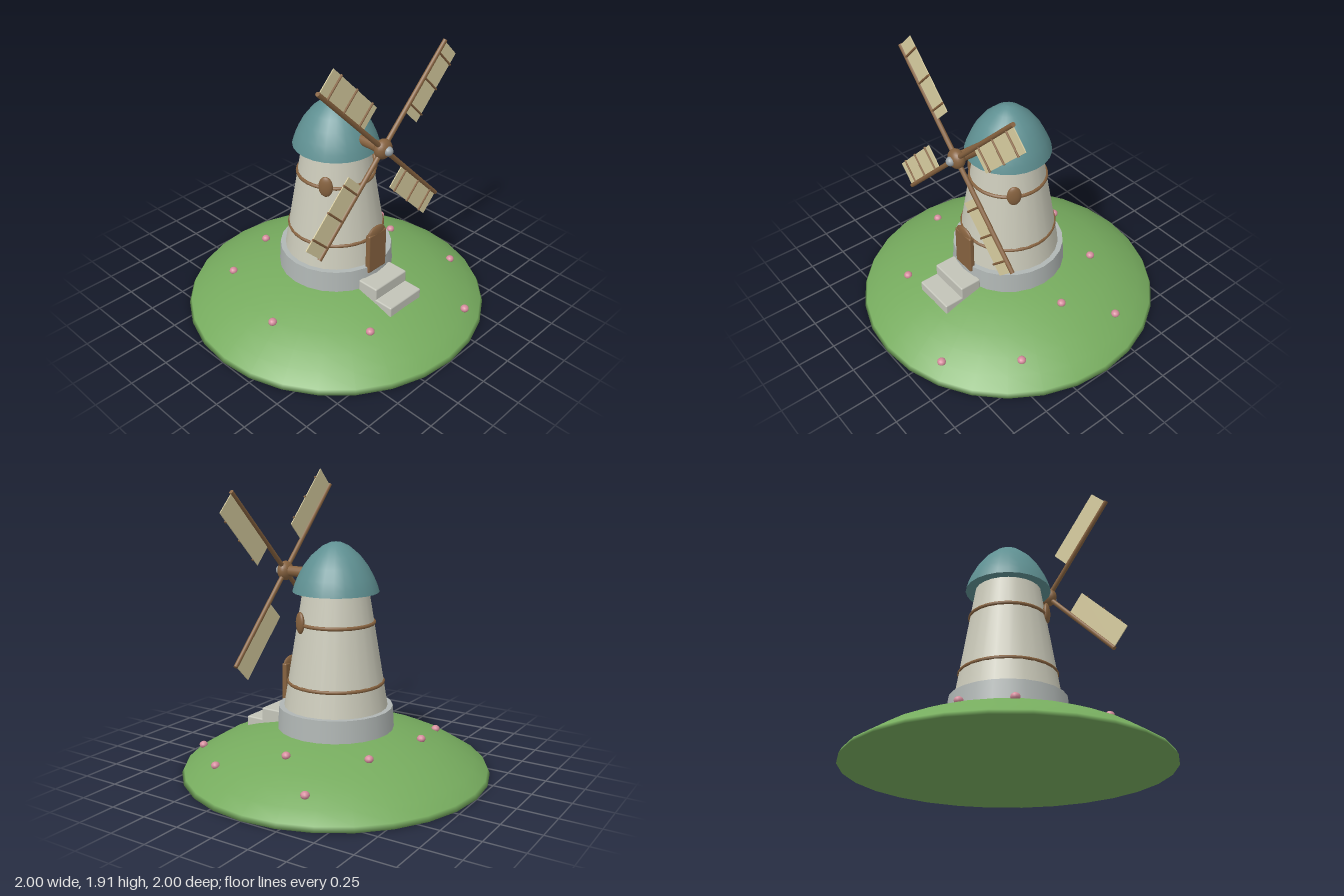
import * as THREE from 'three';
import { RoundedBoxGeometry } from 'three/addons/geometries/RoundedBoxGeometry.js';

const mat = (color) => new THREE.MeshStandardMaterial({ color });
const grass = mat(0x76ab5e), plaster = mat(0xcac9b9), stone = mat(0xb0b6b4), stepStone = mat(0xc2c3b8);
const wood = mat(0x86623f), slate = mat(0x5f9092), cloth = mat(0xd8cda0), petal = mat(0xd48c9c), metal = mat(0x9aa2a6);

function add(parent, name, geometry, material, x = 0, y = 0, z = 0) {
  const mesh = new THREE.Mesh(geometry, material);
  mesh.name = name;
  mesh.position.set(x, y, z);
  parent.add(mesh);
  return mesh;
}

const lathe = (points, segments) =>
  new THREE.LatheGeometry(points.map(([r, y]) => new THREE.Vector2(r, y)), segments);

export function createModel() {
  const model = new THREE.Group();
  model.name = 'windmill';

  // Grassy mound with a closed underside
  add(model, 'hill', lathe([[0, 0], [1, 0], [0.985, 0.03], [0.9, 0.085], [0.8, 0.145], [0.68, 0.198],
    [0.54, 0.245], [0.38, 0.287], [0.2, 0.31], [0, 0.32]], 28), grass);

  // Flowers: x, y, z
  const flowers = [[-0.51, 0.2, -0.47], [-0.15, 0.25, -0.545], [0.34, 0.25, -0.45], [0.77, 0.14, -0.285],
    [0.555, 0.25, 0], [-0.68, 0.2, 0.115], [-0.32, 0.2, 0.61], [0.69, 0.14, 0.44], [0.365, 0.103, 0.82]];
  for (const [x, y, z] of flowers) {
    add(model, 'flower', new THREE.SphereGeometry(0.028, 12, 8), petal, x, y, z).scale.y = 0.85;
  }

  // Tower on its stone plinth, with two wooden bands
  add(model, 'plinth', new THREE.CylinderGeometry(0.368, 0.378, 0.16, 24), stone, 0, 0.35);
  add(model, 'tower', new THREE.CylinderGeometry(0.207, 0.336, 0.78, 24), plaster, 0, 0.81);
  for (const [y, r] of [[0.59, 0.304], [0.975, 0.244]]) {
    add(model, 'band', new THREE.TorusGeometry(r, 0.012, 8, 32), wood, 0, y).rotation.x = Math.PI / 2;
  }

  // Domed cap
  add(model, 'roof', lathe([[0.275, 1.17], [0.262, 1.215], [0.242, 1.262], [0.205, 1.332], [0.155, 1.397],
    [0.085, 1.457], [0.035, 1.48], [0, 1.485]], 24), slate);
  add(model, 'roofUnderside', new THREE.CircleGeometry(0.275, 24), slate, 0, 1.17).rotation.x = Math.PI / 2;

  // Door with a rounded head
  add(model, 'door', new RoundedBoxGeometry(0.16, 0.28, 0.036, 2, 0.01), wood, 0, 0.525, 0.355);
  add(model, 'doorHead', new THREE.SphereGeometry(1, 20, 12), wood, 0, 0.655, 0.355).scale.set(0.08, 0.053, 0.018);

  // Oval shutters on both flanks, turned to follow the wall
  for (const side of [-1, 1]) {
    const shutter = add(model, 'shutter', new THREE.SphereGeometry(1, 20, 14), wood, side * 0.217, 0.988, 0.125);
    shutter.scale.set(0.022, 0.07, 0.046);
    shutter.rotation.y = -side * Math.PI / 6;
  }

  // Entrance steps
  add(model, 'upperStep', new RoundedBoxGeometry(0.29, 0.145, 0.15, 2, 0.01), stepStone, 0, 0.285, 0.42);
  add(model, 'lowerStep', new RoundedBoxGeometry(0.29, 0.075, 0.14, 2, 0.01), stepStone, 0, 0.242, 0.55);

  // Axle, hub and metal nose
  const rotor = new THREE.Group();
  rotor.name = 'rotor';
  rotor.position.set(0, 1.27, 0.39);
  model.add(rotor);
  add(rotor, 'axle', new THREE.CylinderGeometry(0.035, 0.035, 0.24, 16), wood, 0, 0, -0.11).rotation.x = Math.PI / 2;
  add(rotor, 'hub', new THREE.SphereGeometry(0.064, 20, 14), wood).scale.z = 0.75;
  add(rotor, 'nose', new THREE.SphereGeometry(0.03, 14, 10), metal, 0, 0, 0.042);

  // Four sails, each offset to one side of its arm and crossed by battens
  for (let i = 0; i < 4; i++) {
    const blade = new THREE.Group();
    blade.name = 'blade';
    blade.rotation.z = Math.PI / 4 + i * Math.PI / 2;
    rotor.add(blade);
    add(blade, 'arm', new THREE.CylinderGeometry(0.014, 0.016, 0.755, 10), wood, 0, 0.3775);
    add(blade, 'sail', new THREE.BoxGeometry(0.15, 0.49, 0.006), cloth, 0.085, 0.503, 0.001);
    for (const y of [0.315, 0.495, 0.67]) {
      add(blade, 'batten', new THREE.CylinderGeometry(0.007, 0.007, 0.165, 8), wood, 0.083, y, 0.006).rotation.z = Math.PI / 2;
    }
  }
  return model;
}
